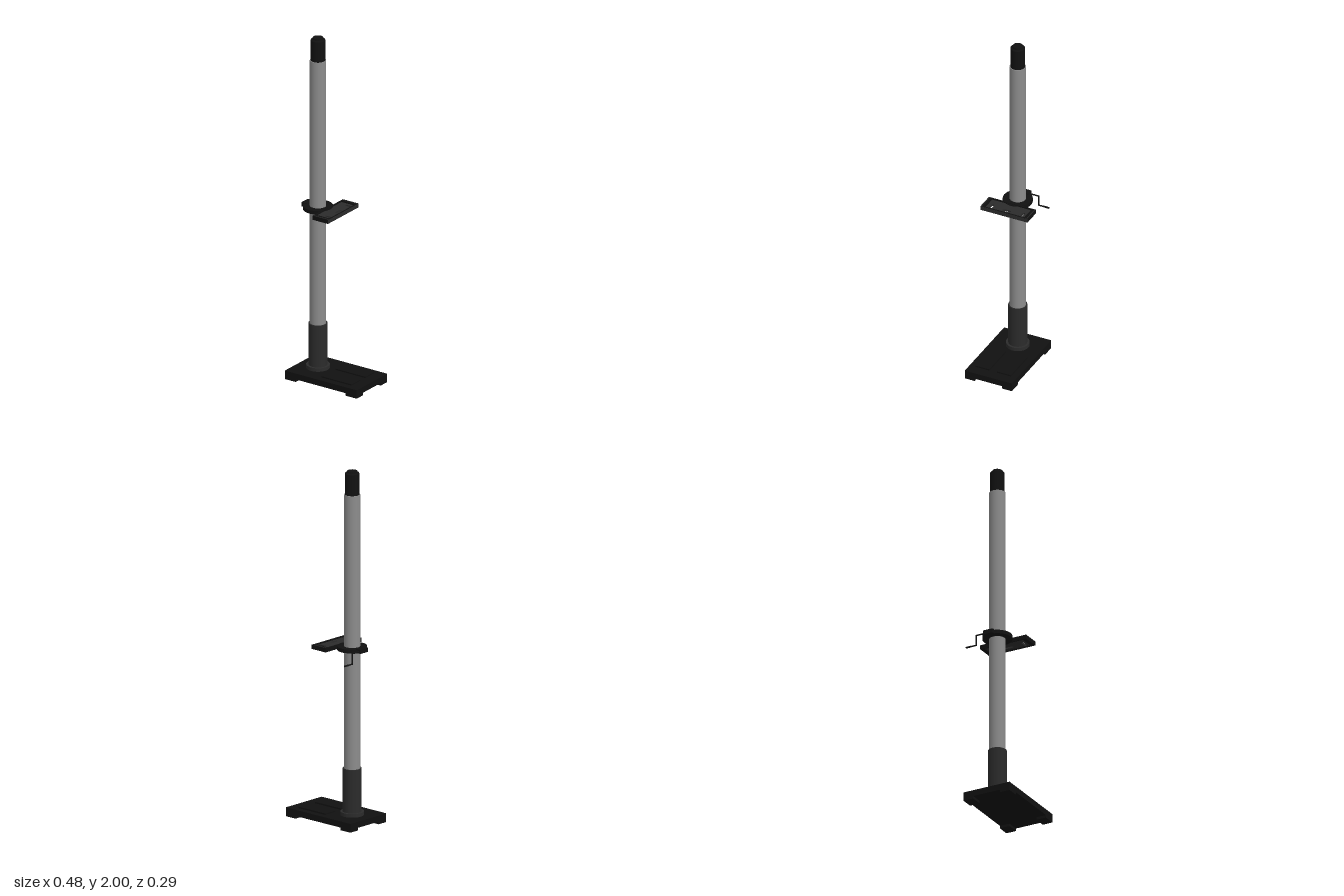
import * as THREE from 'three';

const paint = (color) => new THREE.MeshStandardMaterial({ color });

export function createModel() {
  const model = new THREE.Group();
  const black = paint(0x111111), dark = paint(0x2b2b2b), steel = paint(0x8c8c8c);
  const cx = -0.12, cz = 0.002;

  const add = (name, geometry, material, x = 0, y = 0, z = 0) => {
    const mesh = new THREE.Mesh(geometry, material);
    mesh.name = name;
    mesh.position.set(x, y, z);
    model.add(mesh);
    return mesh;
  };
  // Box given by its limits on each axis
  const box = (name, material, [x0, x1], [y0, y1], [z0, z1]) =>
    add(name, new THREE.BoxGeometry(x1 - x0, y1 - y0, z1 - z0), material,
      (x0 + x1) / 2, (y0 + y1) / 2, (z0 + z1) / 2);
  // Upright cylinder around the column axis
  const drum = (name, material, r, y0, y1) =>
    add(name, new THREE.CylinderGeometry(r, r, y1 - y0, 48), material, cx, (y0 + y1) / 2, cz);
  // Horizontal plate cut from a shape drawn in (x, -z)
  const plate = (name, shape, y0, y1, material) => {
    const g = new THREE.ExtrudeGeometry(shape, { depth: y1 - y0, bevelEnabled: false, curveSegments: 24 });
    return add(name, g.rotateX(-Math.PI / 2), material, 0, y0, cz);
  };
  const rect = (x0, x1, z0, z1, Type = THREE.Shape) => new Type([
    [x0, z0], [x1, z0], [x1, z1], [x0, z1]].map(([x, z]) => new THREE.Vector2(x, z)));

  // Base with corner feet and two raised foot pads
  box('base', black, [-0.24, 0.24], [0.015, 0.05], [-0.142, 0.145]);
  for (const sx of [-1, 1]) {
    for (const sz of [-1, 1]) {
      add('foot', new THREE.BoxGeometry(0.073, 0.016, 0.06), black,
        sx * 0.2035, 0.008, 0.0015 + sz * 0.1135);
    }
  }
  for (const z of [-0.064, 0.067]) {
    box('footPad', black, [-0.02, 0.18], [0.049, 0.058], [z - 0.042, z + 0.042]);
  }

  // Column
  drum('flange', dark, 0.065, 0.05, 0.07);
  drum('sleeve', dark, 0.052, 0.07, 0.315);
  drum('column', steel, 0.045, 0.315, 1.866);

  // End cap with a chamfered, slightly stepped top
  const capProfile = [[0, 1.866], [0.04, 1.866], [0.04, 1.866], [0.04, 1.985], [0.04, 1.985],
    [0.036, 1.99], [0.036, 1.99], [0.03, 1.99], [0.03, 1.99], [0.028, 2], [0.028, 2], [0, 2]];
  add('endCap', new THREE.LatheGeometry(
    capProfile.map(([r, y]) => new THREE.Vector2(r, y)), 48), black, cx, 0, cz);

  // Sliding collar with its clamp block
  drum('collar', black, 0.082, 0.986, 1.007);
  box('clampBlock', black, [-0.215, -0.175], [0.986, 1.01], [-0.034, 0.025]);

  // Tray: a rim around a sunken floor with two slots and an oval hole
  const rim = rect(-0.055, 0.048, -0.143, 0.143);
  rim.holes.push(rect(-0.048, 0.04, -0.12, 0.12, THREE.Path));
  plate('trayRim', rim, 0.986, 1.01, black);

  const floor = rect(-0.049, 0.041, -0.121, 0.121);
  for (const z of [-0.092, 0.096]) {
    const slot = new THREE.Path();
    slot.absarc(0, z, 0.007, Math.PI / 2, Math.PI * 1.5);
    slot.absarc(0.031, z, 0.007, -Math.PI / 2, Math.PI / 2);
    floor.holes.push(slot);
  }
  floor.holes.push(new THREE.Path().absellipse(0.016, 0, 0.009, 0.026, 0, Math.PI * 2));
  plate('trayFloor', floor, 0.992, 1.003, dark);

  // Thin trim strips on the tray ends
  for (const s of [-1, 1]) {
    box('trayTrim', dark, [-0.055, 0.048], [1.009, 1.011],
      [cz + s * 0.138 - 0.002, cz + s * 0.138 + 0.002]);
  }
  box('trayEdge', dark, [0.047, 0.049], [0.987, 1.009], [-0.14, 0.144]);

  // Crank handle: shaft, drop arm and grip
  const crank = new THREE.CurvePath();
  const pts = [[0.996, -0.03], [0.996, -0.085], [0.937, -0.085], [0.937, -0.146]]
    .map(([y, z]) => new THREE.Vector3(-0.202, y, z));
  for (let i = 0; i < 3; i++) {
    const length = pts[i].distanceTo(pts[i + 1]);
    const rod = add('crankRod', new THREE.CylinderGeometry(0.004, 0.004, length + 0.004, 12), black);
    rod.position.lerpVectors(pts[i], pts[i + 1], 0.5);
    if (i !== 1) rod.rotation.x = Math.PI / 2;
  }
  const grip = add('crankGrip', new THREE.CylinderGeometry(0.005, 0.005, 0.03, 12), black, -0.202, 0.937, -0.132);
  grip.rotation.x = Math.PI / 2;

  return model;
}
